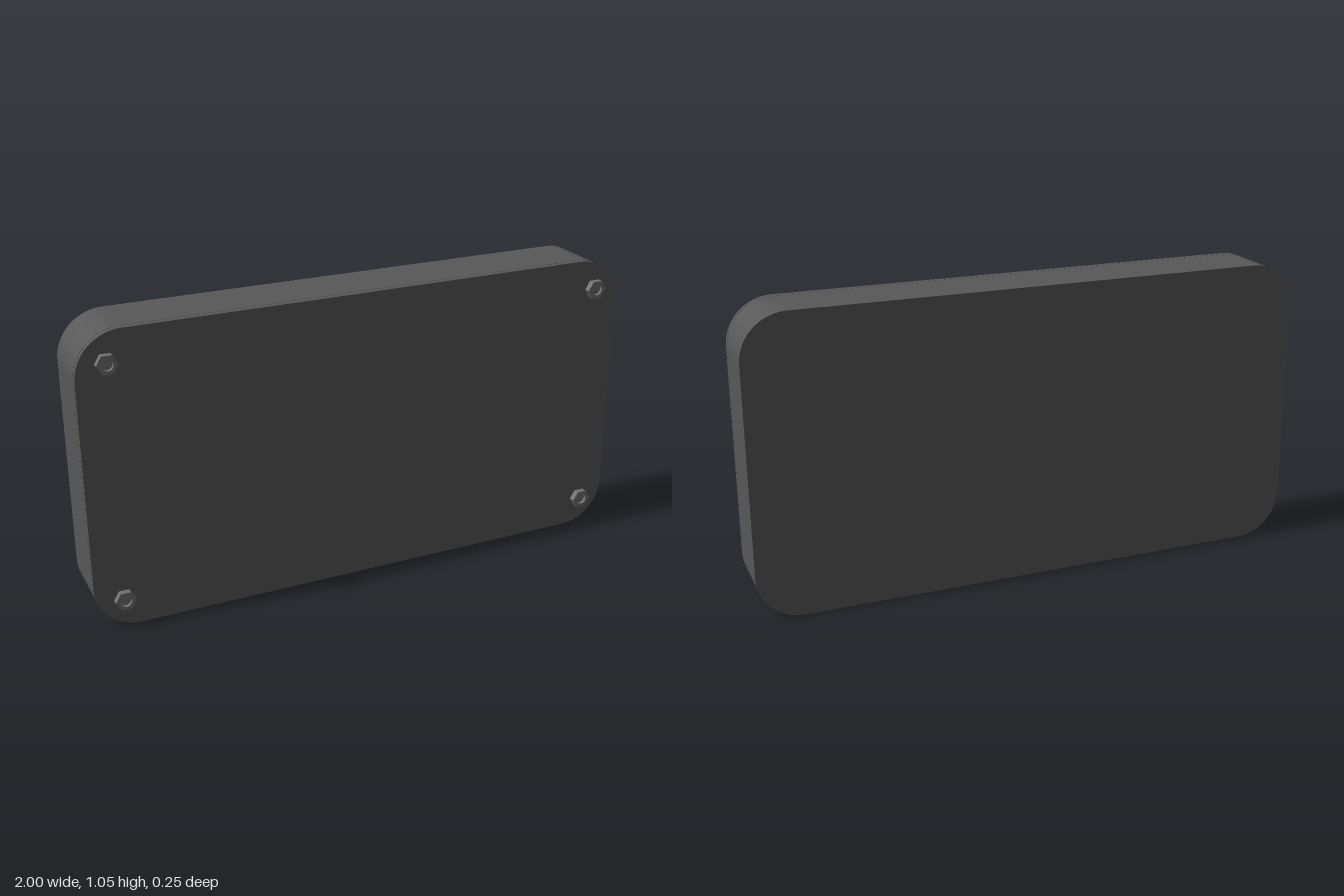
import * as THREE from 'three';

const W = 2, H = 1.054, R = 0.16;
const caseMaterial = new THREE.MeshStandardMaterial({ color: 0x585858 });
const boltMaterial = new THREE.MeshStandardMaterial({ color: 0x707070 });

// Rounded rectangle standing on y = 0
function plateShape() {
  const s = new THREE.Shape();
  s.absarc(W / 2 - R, R, R, -Math.PI / 2, 0);
  s.absarc(W / 2 - R, H - R, R, 0, Math.PI / 2);
  s.absarc(-W / 2 + R, H - R, R, Math.PI / 2, Math.PI);
  s.absarc(-W / 2 + R, R, R, Math.PI, Math.PI * 1.5);
  s.closePath();
  return s;
}

function extrude(shape, z0, z1) {
  const g = new THREE.ExtrudeGeometry(shape, { depth: z1 - z0, bevelEnabled: false, curveSegments: 16 });
  return g.translate(0, 0, z0);
}

// Smooth the rounded sides: normals follow the rounded rectangle
function smoothSides(g) {
  const p = g.attributes.position, n = g.attributes.normal;
  for (let i = 0; i < p.count; i++) {
    if (Math.abs(n.getZ(i)) > 0.5) continue;
    const x = p.getX(i), y = p.getY(i) - H / 2;
    const dx = x - THREE.MathUtils.clamp(x, R - W / 2, W / 2 - R);
    const dy = y - THREE.MathUtils.clamp(y, R - H / 2, H / 2 - R);
    const l = Math.hypot(dx, dy);
    if (l > 1e-6) n.setXYZ(i, dx / l, dy / l, 0);
  }
  return g;
}

function addMesh(parent, name, geometry, material) {
  const mesh = new THREE.Mesh(geometry, material);
  mesh.name = name;
  parent.add(mesh);
  return mesh;
}

// Hexagonal bolt with a round recess in its head
function createBolt(name, x, y) {
  const bolt = new THREE.Group();
  bolt.name = name;
  bolt.position.set(x, y, 0);

  const hex = new THREE.Shape();
  for (let i = 0; i < 6; i++) {
    const a = i * Math.PI / 3;
    hex[i ? 'lineTo' : 'moveTo'](0.036 * Math.cos(a), 0.036 * Math.sin(a));
  }
  hex.closePath();
  hex.holes.push(new THREE.Path().absarc(0, 0, 0.02, 0, Math.PI * 2, true));
  addMesh(bolt, 'boltHead', extrude(hex, 0.105, 0.1275), boltMaterial);

  const floor = new THREE.CylinderGeometry(0.02, 0.02, 0.011, 32).rotateX(Math.PI / 2);
  addMesh(bolt, 'recessFloor', floor, boltMaterial).position.z = 0.1105;

  const shaft = new THREE.CylinderGeometry(0.015, 0.015, 0.04, 24).rotateX(Math.PI / 2);
  addMesh(bolt, 'boltShaft', shaft, boltMaterial).position.z = 0.089;
  return bolt;
}

export function createModel() {
  const model = new THREE.Group();
  model.name = 'enclosure';

  // Case and its lid, with a hairline gap between them
  addMesh(model, 'caseBody', smoothSides(extrude(plateShape(), -0.1275, 0.078)), caseMaterial);
  addMesh(model, 'lid', smoothSides(extrude(plateShape(), 0.08, 0.1)), caseMaterial);

  // One bolt in each corner
  for (const [side, x] of [['Left', 0.9], ['Right', -0.9]]) {
    for (const [level, y] of [['upper', 0.949], ['lower', 0.107]]) {
      model.add(createBolt(level + side + 'Bolt', x, y));
    }
  }
  return model;
}
